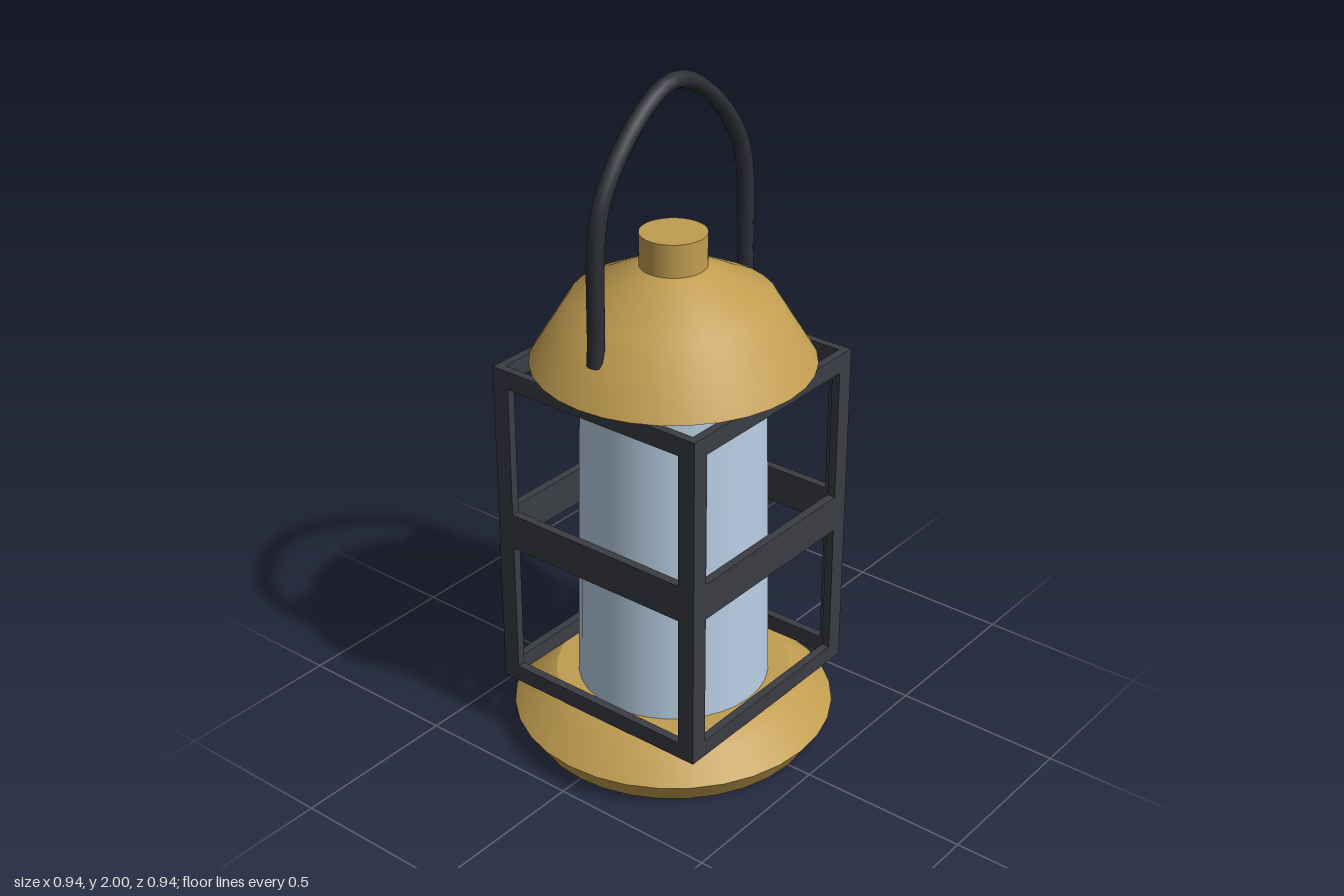
import * as THREE from 'three';
import { mergeGeometries } from 'three/addons/utils/BufferGeometryUtils.js';

const brass = new THREE.MeshStandardMaterial({ color: 0xc19d50 });
const iron = new THREE.MeshStandardMaterial({ color: 0x3a3d42 });
const handleIron = new THREE.MeshStandardMaterial({ color: 0x2c2f34 });
const glass = new THREE.MeshStandardMaterial({ color: 0xb9cfe4 });

// Turned part: every profile is smooth by itself, with a sharp edge between profiles
function turned(name, material, ...profiles) {
  const pieces = profiles.map(p =>
    new THREE.LatheGeometry(p.map(([r, y]) => new THREE.Vector2(r, y)), 32));
  const mesh = new THREE.Mesh(mergeGeometries(pieces), material);
  mesh.name = name;
  return mesh;
}

function rectangle(target, x, y0, y1) {
  target.moveTo(-x, y0);
  target.lineTo(x, y0);
  target.lineTo(x, y1);
  target.lineTo(-x, y1);
  target.closePath();
  return target;
}

// Thin square wall with two window openings
function cagePanel(halfWidth, thickness) {
  const shape = rectangle(new THREE.Shape(), halfWidth, 0.17, 1.18);
  for (const [y0, y1] of [[0.22, 0.62], [0.73, 1.125]]) {
    shape.holes.push(rectangle(new THREE.Path(), 0.297, y0, y1));
  }
  return new THREE.ExtrudeGeometry(shape, { depth: thickness, bevelEnabled: false });
}

export function createModel() {
  const model = new THREE.Group();
  model.name = 'lantern';

  // Base, glass, roof and knob
  model.add(turned('base', brass,
    [[0, 0], [0.425, 0]],
    [[0.425, 0], [0.47, 0.07]],
    [[0.47, 0.07], [0.40, 0.14], [0.345, 0.17]],
    [[0.345, 0.17], [0, 0.17]]));
  model.add(turned('glass', glass,
    [[0.28, 0.17], [0.26, 1.11]],
    [[0.26, 1.11], [0, 1.11]]));
  model.add(turned('roof', brass,
    [[0, 1.18], [0.398, 1.18]],
    [[0.398, 1.18], [0.285, 1.365], [0.095, 1.46]],
    [[0.095, 1.46], [0, 1.46]]));
  model.add(turned('knob', brass,
    [[0.094, 1.45], [0.094, 1.555]],
    [[0.094, 1.555], [0, 1.555]]));

  // Cage: four walls around the glass, the side walls fitting between front and back
  const thickness = 0.025;
  const cage = new THREE.Group();
  cage.name = 'cage';
  ['front', 'left', 'back', 'right'].forEach((side, i) => {
    const halfWidth = i % 2 ? 0.35 - thickness : 0.35;
    const geometry = cagePanel(halfWidth, thickness);
    geometry.translate(0, 0, 0.35 - thickness);
    const panel = new THREE.Mesh(geometry, iron);
    panel.rotation.y = i * Math.PI / 2;
    panel.name = side + 'Panel';
    cage.add(panel);
  });
  model.add(cage);

  // Arched carrying handle with closed ends
  const arch = new THREE.CatmullRomCurve3(
    [[-0.326, 1.28], [-0.28, 1.75], [0, 1.976], [0.28, 1.75], [0.326, 1.28]]
      .map(([x, y]) => new THREE.Vector3(x, y, 0)));
  const parts = [new THREE.TubeGeometry(arch, 40, 0.024, 8)];
  for (const t of [0, 1]) {
    const end = new THREE.CircleGeometry(0.024, 8);
    const outward = arch.getTangent(t).multiplyScalar(t ? 1 : -1);
    end.applyQuaternion(new THREE.Quaternion().setFromUnitVectors(new THREE.Vector3(0, 0, 1), outward));
    const p = arch.getPoint(t);
    end.translate(p.x, p.y, p.z);
    parts.push(end);
  }
  const handle = new THREE.Mesh(mergeGeometries(parts), handleIron);
  handle.name = 'handle';
  model.add(handle);

  return model;
}
